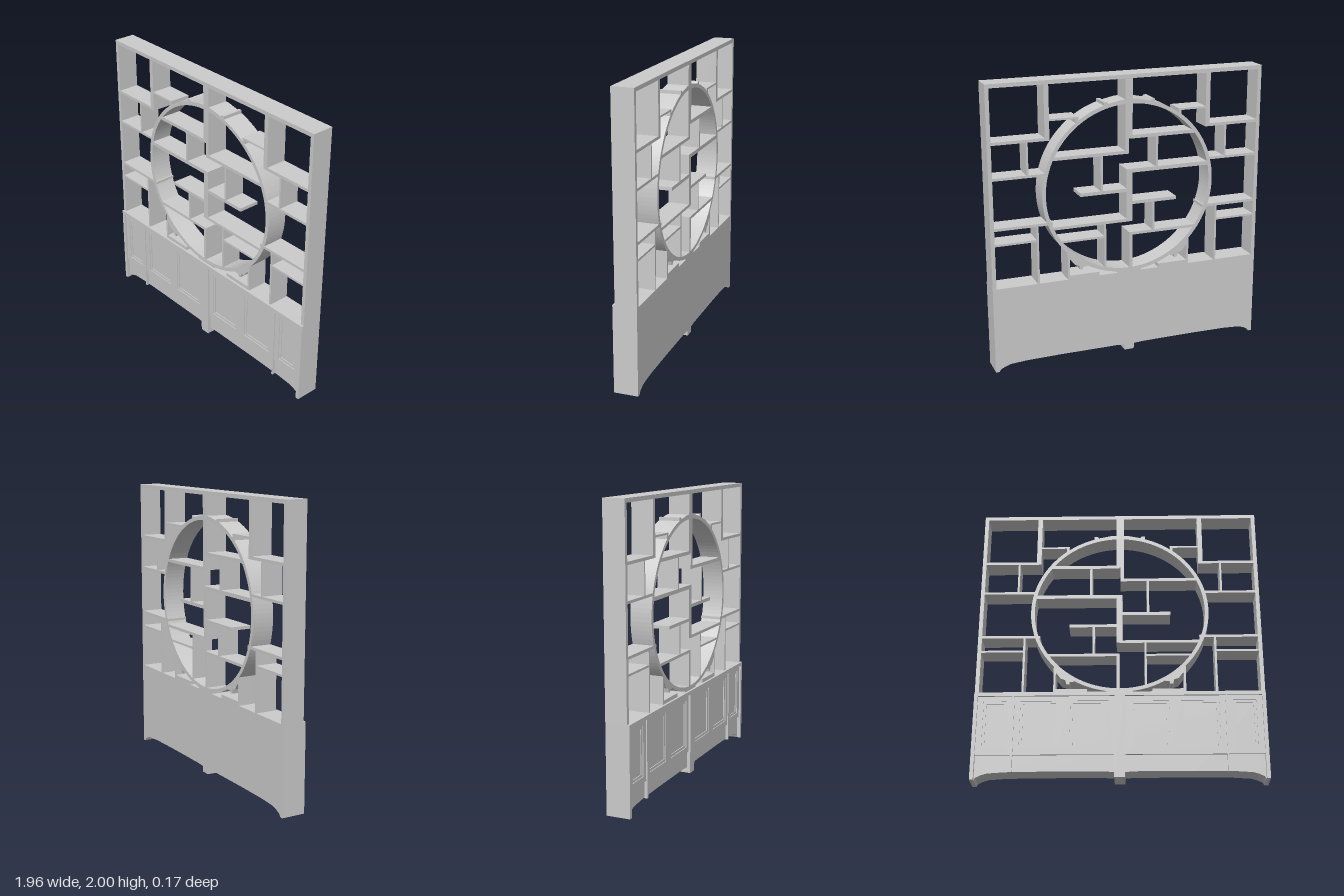
import * as THREE from 'three';

const BACK = -0.082, UPPER = 0.069, LOWER = 0.085;

export function createModel() {
  const root = new THREE.Group();
  root.name = 'displayCabinet';
  const mat = new THREE.MeshStandardMaterial({ color: 0xcccccc, side: THREE.DoubleSide });

  const add = (name, geo, parent) => {
    const m = new THREE.Mesh(geo, mat);
    m.name = name;
    parent.add(m);
    return m;
  };
  // Box given by its limits
  const box = (name, parent, x0, x1, y0, y1, z0 = BACK, z1 = UPPER) =>
    add(name, new THREE.BoxGeometry(x1 - x0, y1 - y0, z1 - z0), parent)
      .position.set((x0 + x1) / 2, (y0 + y1) / 2, (z0 + z1) / 2);
  // Outline extruded between two depths
  const slab = (name, parent, shape, z0 = BACK, z1 = UPPER) =>
    add(name, new THREE.ExtrudeGeometry(shape, { depth: z1 - z0, bevelEnabled: false, curveSegments: 64 }), parent)
      .position.z = z0;
  const poly = (pts, s = 1) => new THREE.Shape(pts.map(([x, y]) => new THREE.Vector2(x * s, y)));
  const rect = (x0, x1, y0, y1) => poly([[x0, y0], [x1, y0], [x1, y1], [x0, y1]]);
  const group = (name) => {
    const g = new THREE.Group();
    g.name = name;
    root.add(g);
    return g;
  };

  // Outer frame
  const frame = group('upperFrame');
  box('topBoard', frame, -0.98, 0.98, 1.973, 2);
  box('topCentrePost', frame, -0.023, 0.03, 1.8, 1.975);
  for (const s of [-1, 1]) {
    box('sideBoard', frame, Math.min(s * 0.953, s * 0.98), Math.max(s * 0.953, s * 0.98), 0.6, 1.975);
  }

  // Moon-shaped ring
  const ring = new THREE.Shape();
  ring.absellipse(0, 1.222, 0.62, 0.608, 0, Math.PI * 2);
  const opening = new THREE.Path();
  opening.absellipse(0, 1.222, 0.594, 0.582, 0, Math.PI * 2, true);
  ring.holes.push(opening);
  slab('moonRing', root, ring);

  // Shelves and dividers outside the ring, mirrored: x0, x1, y0, y1
  const outer = group('outerShelves');
  const outerParts = [
    ['divider', 0.56, 0.593, 1.6, 1.975],
    ['shelf', 0.56, 0.955, 1.6, 1.62],
    ['shelf', 0.36, 0.56, 1.73, 1.743],
    ['divider', 0.36, 0.38, 1.685, 1.735],
    ['divider', 0.708, 0.722, 1.375, 1.605],
    ['shelf', 0.595, 0.955, 1.362, 1.38],
    ['shelf', 0.55, 0.955, 1.018, 1.037],
    ['divider', 0.65, 0.665, 0.605, 1.02],
    ['shelf', 0.66, 0.955, 0.911, 0.926],
    ['divider', 0.435, 0.45, 0.605, 0.81],
    ['footRail', 0.22, 0.45, 0.605, 0.637],
  ];
  const bracket = [[0.45, 0.815], [0.45, 0.775], [0.42, 0.74], [0.4, 0.712], [0.37, 0.703], [0.362, 0.673],
    [0.343, 0.67], [0.338, 0.69], [0.31, 0.69], [0.31, 0.71], [0.38, 0.755]];
  const crest = [[0.02, 1.835], [0.06, 1.832], [0.15, 1.813], [0.158, 1.825], [0.182, 1.825], [0.182, 1.797],
    [0.15, 1.797], [0.06, 1.816], [0.02, 1.818]];
  for (const s of [-1, 1]) {
    for (const [name, a, b, y0, y1] of outerParts) {
      box(name, outer, Math.min(a * s, b * s), Math.max(a * s, b * s), y0, y1);
    }
    slab('lowerBracket', outer, poly(bracket, s));
    slab('crestScroll', outer, poly(crest, s));
  }
  slab('ringFoot', outer, poly([[-0.088, 0.605], [0.088, 0.605], [0.088, 0.63], [-0.088, 0.63]]));

  // Staggered shelves and dividers within the ring
  const inner = group('innerShelves');
  const innerParts = [
    ['post', -0.023, 0.004, 1.57, 1.81],
    ['post', 0.004, 0.03, 1.46, 1.81],
    ['shelf', -0.48, 0, 1.563, 1.587],
    ['divider', -0.21, -0.193, 1.35, 1.57],
    ['shelf', 0.008, 0.545, 1.46, 1.482],
    ['divider', 0.19, 0.207, 1.21, 1.465],
    ['shelf', -0.59, 0.02, 1.325, 1.352],
    ['post', -0.022, 0.02, 0.98, 1.33],
    ['shelf', 0.02, 0.353, 1.192, 1.216],
    ['shelf', -0.35, 0, 1.1, 1.122],
    ['divider', -0.188, -0.172, 0.89, 1.105],
    ['shelf', 0, 0.55, 0.978, 0.998],
    ['divider', 0.17, 0.185, 0.655, 0.98],
    ['shelf', 0.18, 0.495, 0.879, 0.894],
    ['shelf', -0.5, 0, 0.878, 0.898],
    ['post', -0.023, 0, 0.635, 0.885],
  ];
  for (const p of innerParts) box(p[0], inner, ...p.slice(1));

  // Base cabinet with arched underside and feet
  const base = group('baseCabinet');
  const half = [[0.035, 0.012], [0.035, 0.052], [0.1, 0.057], [0.5, 0.058], [0.75, 0.055], [0.87, 0.047],
    [0.91, 0.035], [0.945, 0.018], [0.955, 0], [0.98, 0], [0.98, 0.61]];
  slab('cabinetBody', base, poly([...half, ...half.map(([x, y]) => [-x, y]).reverse()]), BACK, 0.06);
  box('topRail', base, -0.98, 0.98, 0.583, 0.61, 0.05, LOWER);
  box('centrePost', base, -0.036, 0.036, 0.012, 0.6, 0.05, LOWER);

  for (const s of [-1, 1]) {
    const span = (a, b) => [Math.min(a * s, b * s), Math.max(a * s, b * s)];
    box('cornerPost', base, ...span(0.955, 0.98), 0, 0.6, 0.05, LOWER);
    box('mullion', base, ...span(0.707, 0.72), 0.05, 0.59, 0.05, 0.08);

    // Door bays with stepped, sunken panels
    for (const [a, b, doors] of [[0.036, 0.707, 2], [0.72, 0.955, 1]]) {
      [[0.06, 0.066, 0.018], [0.066, 0.072, 0]].forEach(([z0, z1, inset]) => {
        const bay = rect(...span(a, b), 0.17, 0.585);
        const w = (b - a) / doors;
        for (let i = 0; i < doors; i++) {
          const m = 0.04 + inset;
          const [x0, x1] = span(a + i * w + m, a + (i + 1) * w - m);
          bay.holes.push(rect(x0, x1, 0.21 + inset, 0.55 - inset));
        }
        slab('doorFrames', base, bay, z0, z1);
      });
    }
  }
  box('doorKnob', base, 0.908, 0.916, 0.255, 0.264, 0.07, 0.076);
  return root;
}
